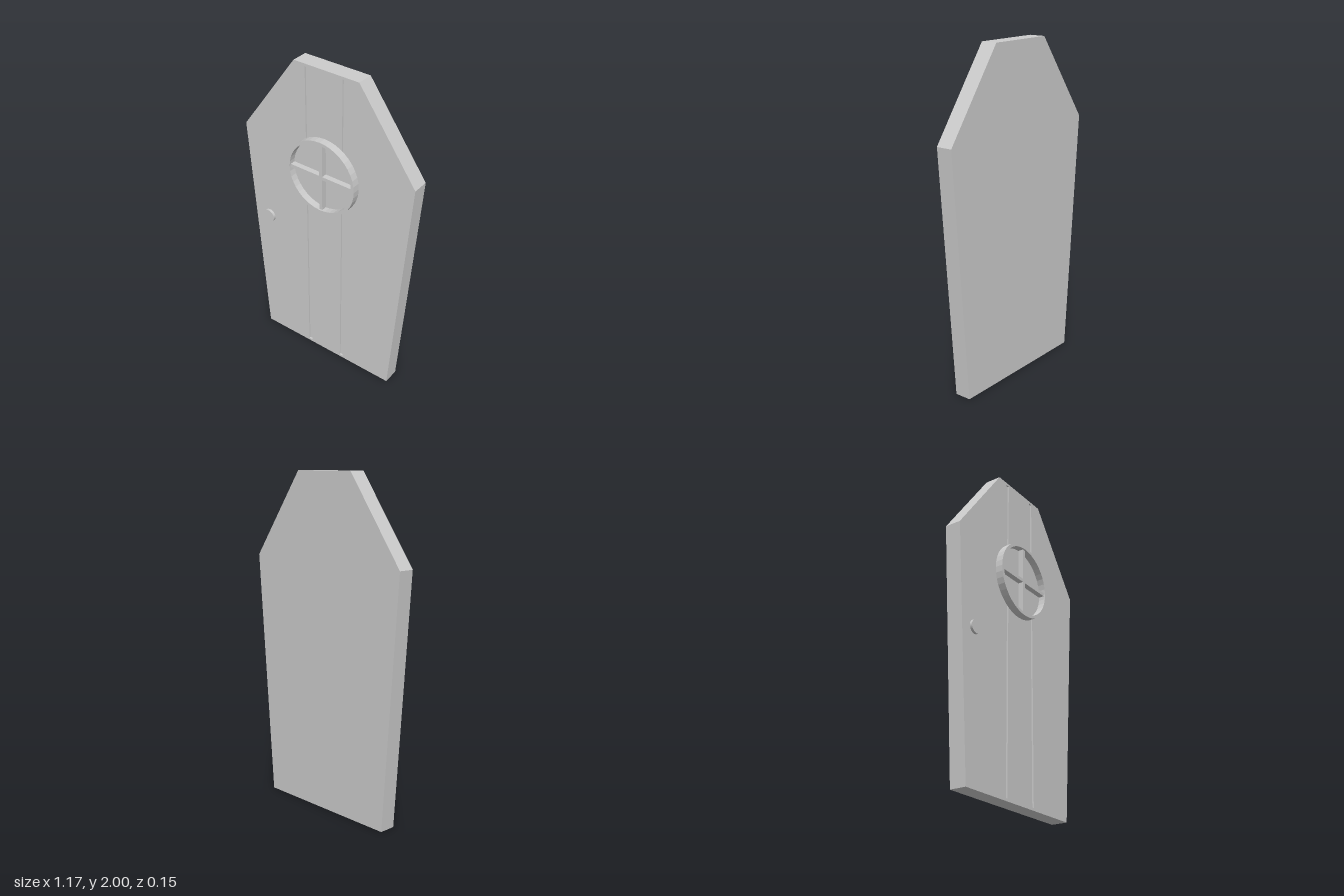
import * as THREE from 'three';

const material = new THREE.MeshStandardMaterial({ color: 0xcccccc });
const BACK = -0.075, FRONT = 0.025, GROOVE = 0.01;
const WINDOW = { x: -0.008, y: 1.354, r: 0.234, inner: 0.215 };

function add(parent, name, geometry, x = 0, y = 0, z = 0) {
  const mesh = new THREE.Mesh(geometry, material);
  mesh.name = name;
  mesh.position.set(x, y, z);
  parent.add(mesh);
  return mesh;
}

const extrude = (shape, depth) =>
  new THREE.ExtrudeGeometry(shape, { depth, bevelEnabled: false, curveSegments: 20 });

const polygon = (points, Type = THREE.Shape) => new Type(points.map(([x, y]) => new THREE.Vector2(x, y)));

// Six-sided outline, wide at the shoulders
const outline = () => polygon([
  [-0.472, 0], [0.472, 0], [0.583, 1.49], [0.213, 2], [-0.213, 2], [-0.583, 1.49],
]);

export function createModel() {
  const door = new THREE.Group();
  door.name = 'door';

  // Solid slab, then a thin front layer cut by two vertical grooves
  add(door, 'slab', extrude(outline(), FRONT - GROOVE - BACK), 0, 0, BACK);
  const face = outline();
  for (const x of [-0.127, 0.121]) {
    face.holes.push(polygon(
      [[x - 0.012, 0.016], [x - 0.012, 1.985], [x + 0.012, 1.985], [x + 0.012, 0.016]], THREE.Path));
  }
  add(door, 'groovedFace', extrude(face, GROOVE), 0, 0, FRONT - GROOVE);

  // Round window: raised rim, recessed pane and crossed bars
  const roundWindow = new THREE.Group();
  roundWindow.name = 'roundWindow';
  roundWindow.position.set(WINDOW.x, WINDOW.y, FRONT);
  door.add(roundWindow);

  const rim = new THREE.Shape().absarc(0, 0, WINDOW.r, 0, Math.PI * 2);
  rim.holes.push(new THREE.Path().absarc(0, 0, WINDOW.inner, 0, Math.PI * 2, true));
  add(roundWindow, 'windowRim', extrude(rim, 0.047));
  add(roundWindow, 'windowPane', new THREE.CircleGeometry(WINDOW.inner, 40), 0, 0, 0.004);
  add(roundWindow, 'uprightBar', new THREE.BoxGeometry(0.021, 0.434, 0.038), 0, 0, 0.019);
  add(roundWindow, 'crossBar', new THREE.BoxGeometry(0.434, 0.021, 0.038), 0, 0, 0.019);

  // Round flat knob
  const knob = add(door, 'knob', new THREE.CylinderGeometry(0.041, 0.041, 0.03, 32), -0.43, 0.893, 0.025);
  knob.rotation.x = Math.PI / 2;

  return door;
}
